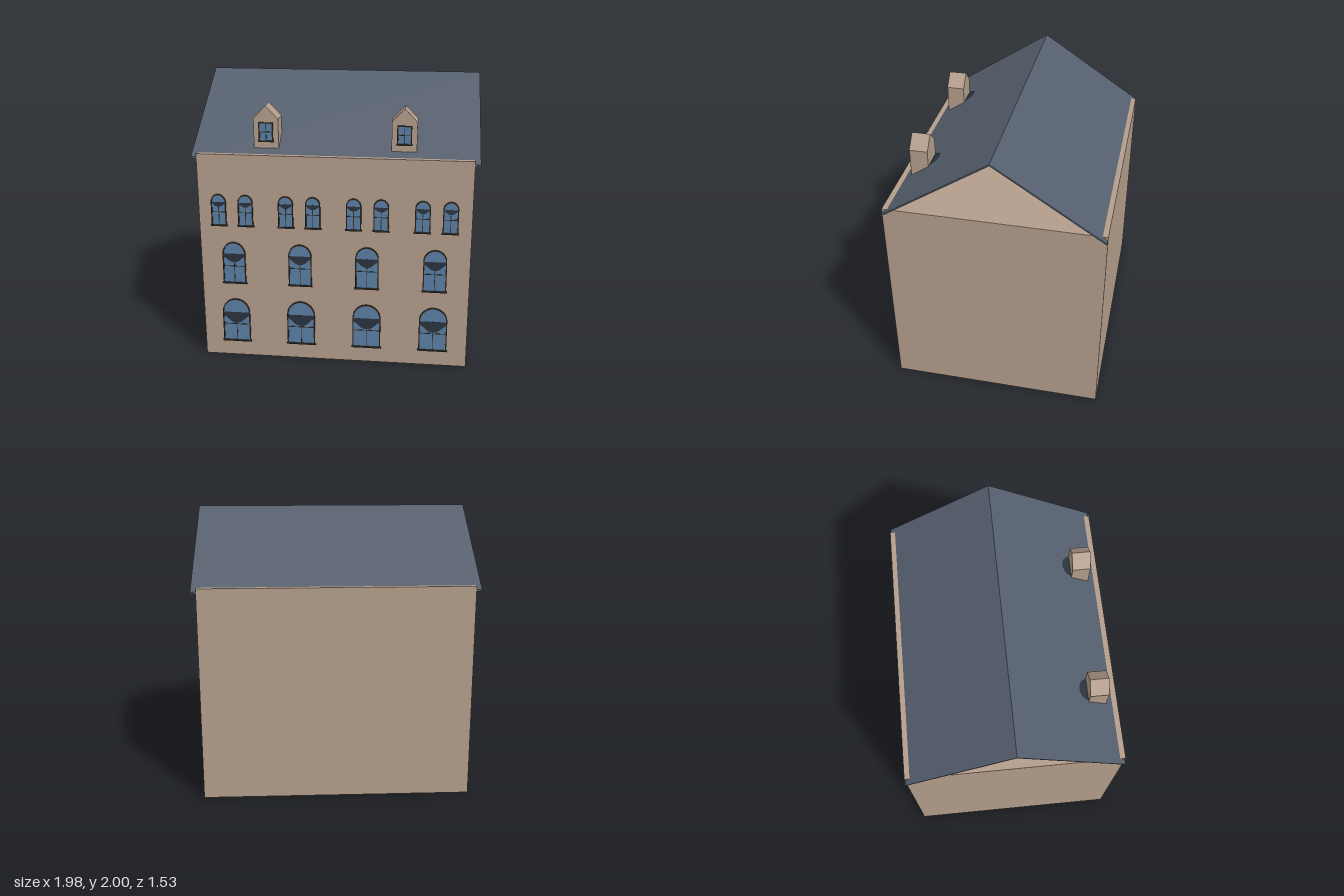
import * as THREE from 'three';

const mat = (name, color) => {
  const m = new THREE.MeshStandardMaterial({ color });
  m.name = name;
  return m;
};

export function createModel() {
  const wallMat = mat('plaster', 0xb39d8b);
  const roofMat = mat('slate', 0x555e6d);
  const frameMat = mat('dark frame', 0x37342b);
  const glassMat = mat('blue glass', 0x5a7fa4);
  const shadeMat = mat('dark shade', 0x2b333f);
  const house = new THREE.Group();
  house.name = 'house';

  const add = (parent, name, geometry, material, x = 0, y = 0, z = 0) => {
    const mesh = new THREE.Mesh(geometry, material);
    mesh.name = name;
    mesh.position.set(x, y, z);
    parent.add(mesh);
    return mesh;
  };
  const box = (parent, name, w, h, d, material, x, y, z) =>
    add(parent, name, new THREE.BoxGeometry(w, h, d), material, x, y, z);
  const polygon = (points) => new THREE.Shape(points.map(([x, y]) => new THREE.Vector2(x, y)));
  const extrude = (shape, depth) =>
    new THREE.ExtrudeGeometry(shape, { depth, bevelEnabled: false, curveSegments: 16 });

  // Walls, with a dark underside
  box(house, 'walls', 1.9, 1.525, 1.517,
    [wallMat, wallMat, wallMat, frameMat, wallMat, wallMat], 0, 0.7625, -0.0055);

  // Thin gable roof, open at both ends
  const t = 0.012;
  const slopes = polygon([
    [-0.75, 1.49], [-0.75, 1.49 + t], [0.006, 2], [0.762, 1.49 + t], [0.762, 1.49], [0.006, 2 - t],
  ]);
  const roof = add(house, 'roof', extrude(slopes, 1.976), roofMat, -0.988);
  roof.rotation.y = Math.PI / 2;

  // Window outline: a rectangle, with a round arch when rise > 0
  const outline = (w, bottom, spring, rise, Path = THREE.Shape) => {
    const p = new Path();
    p.moveTo(-w, bottom);
    p.lineTo(w, bottom);
    p.lineTo(w, spring);
    if (rise > 0) p.absellipse(0, spring, w, rise, 0, Math.PI, false, 0);
    else p.lineTo(-w, spring);
    p.closePath();
    return p;
  };

  // Window with frame, sill, bars, glass and an optional draped shade
  const addWindow = (parent, x, z, { w, bottom, spring, rise, transom, drop }) => {
    const win = new THREE.Group();
    win.name = 'window';
    win.position.set(x, 0, z);
    parent.add(win);
    const f = 0.008;
    const frame = outline(w, bottom, spring, rise);
    frame.holes.push(rise > 0
      ? outline(w - f, bottom + f, spring, rise - f, THREE.Path)
      : outline(w - f, bottom + f, spring - f, 0, THREE.Path));
    add(win, 'windowFrame', extrude(frame, 0.01), frameMat);
    add(win, 'windowGlass', new THREE.ShapeGeometry(outline(w - 0.002, bottom, spring, Math.max(rise - 0.002, 0)), 16),
      glassMat, 0, 0, 0.003);
    box(win, 'windowSill', w * 2 + 0.012, 0.01, 0.012, frameMat, 0, bottom + 0.003, 0.006);
    box(win, 'windowTransom', w * 2, 0.005, 0.004, frameMat, 0, transom, 0.004);
    box(win, 'windowMullion', 0.005, spring - bottom, 0.004, frameMat, 0, (spring + bottom) / 2, 0.004);
    if (drop) {
      const s = w - 0.004;
      const low = spring - drop;
      const shade = new THREE.Shape();
      shade.moveTo(s, spring);
      shade.lineTo(-s, spring);
      shade.lineTo(-s, spring - drop * 0.35);
      shade.bezierCurveTo(-s * 0.65, spring - drop * 0.4, -s * 0.55, low, 0, low);
      shade.bezierCurveTo(s * 0.55, low, s * 0.65, spring - drop * 0.4, s, spring - drop * 0.35);
      add(win, 'windowShade', new THREE.ShapeGeometry(shade, 12), shadeMat, 0, 0, 0.007);
    }
  };

  // Three storeys of windows on the front
  const ground = { w: 0.1, bottom: 0.115, spring: 0.345, rise: 0.105, transom: 0.25, drop: 0.085 };
  const middle = { w: 0.082, bottom: 0.573, spring: 0.8, rise: 0.087, transom: 0.705, drop: 0.065 };
  const upper = { w: 0.053, bottom: 1.008, spring: 1.183, rise: 0.057, transom: 1.11, drop: 0.034 };
  for (let i = 0; i < 4; i++) {
    const x = -0.713 + i * 0.474;
    addWindow(house, x, 0.753, ground);
    addWindow(house, x, 0.753, middle);
    for (const side of [-1, 1]) addWindow(house, x + side * 0.095, 0.753, upper);
  }

  // Two dormers on the front slope
  const dormerWindow = { w: 0.05, bottom: 1.603, spring: 1.737, rise: 0, transom: 1.67 };
  for (const side of [-1, 1]) {
    const dormer = new THREE.Group();
    dormer.name = 'dormer';
    dormer.position.x = side * 0.474;
    house.add(dormer);
    box(dormer, 'dormerWalls', 0.172, 0.205, 0.128, wallMat, 0, 1.6575, 0.603);
    add(dormer, 'dormerGable', extrude(polygon([[-0.088, 1.76], [0.088, 1.76], [0, 1.852]]), 0.13),
      wallMat, 0, 0, 0.538);
    addWindow(dormer, 0, 0.667, dormerWindow);
    // Half-round flashing lying on the slope behind the dormer
    const flashing = add(dormer, 'dormerFlashing', new THREE.CircleGeometry(0.076, 20, 0, Math.PI),
      shadeMat, 0, 1.646, 0.538);
    flashing.rotation.x = -Math.atan2(0.756, 0.498);
    flashing.scale.y = 0.9;
  }
  return house;
}
